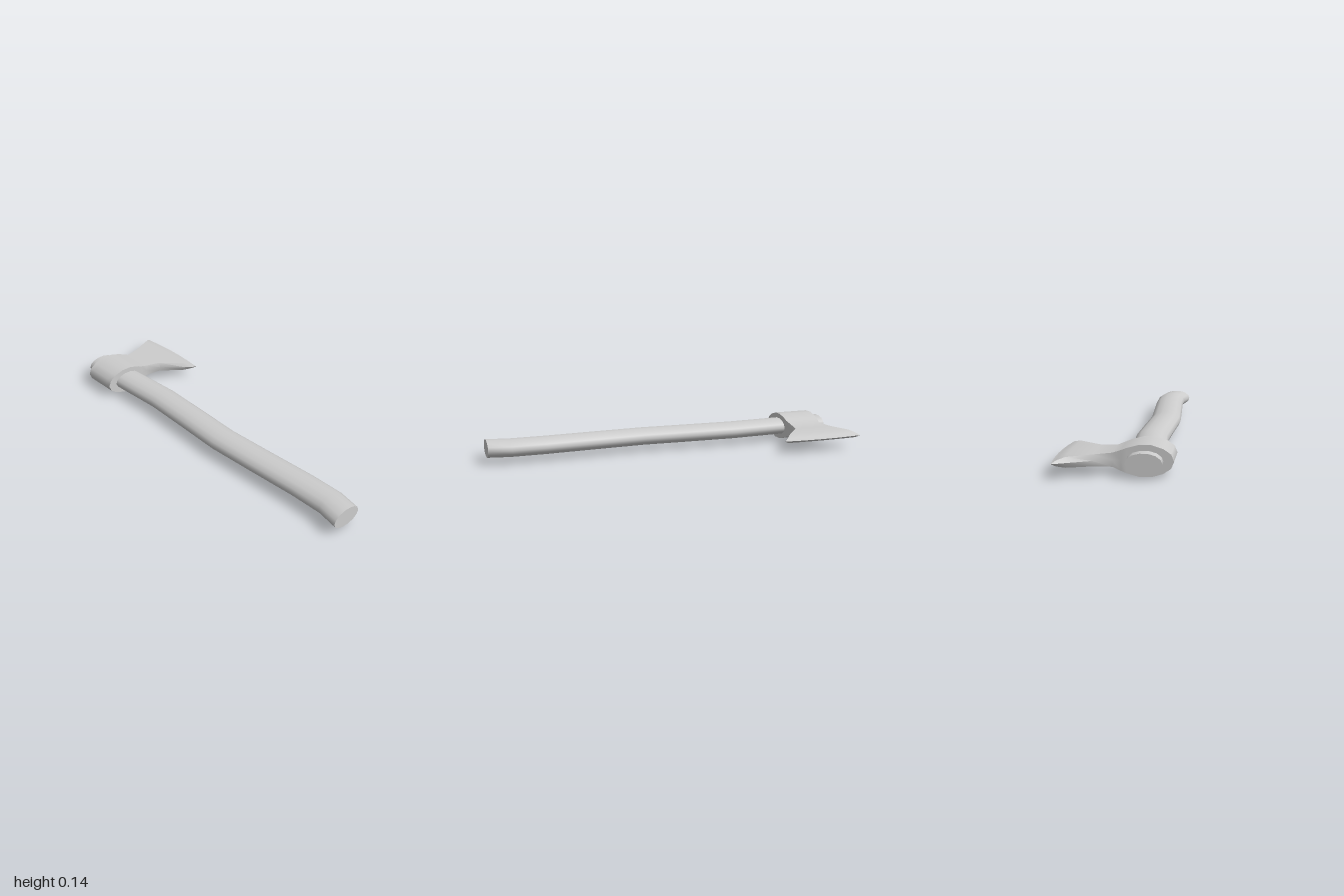
import * as THREE from 'three';
import { toCreasedNormals } from 'three/addons/utils/BufferGeometryUtils.js';

const MID_Y = 0.072;

// Skin a list of equal-length rings and close both ends with fans.
function loft(rings) {
  const n = rings[0].length;
  const points = rings.flat();
  const index = [];
  for (let i = 0; i < rings.length - 1; i++) {
    for (let j = 0; j < n; j++) {
      const k = (j + 1) % n;
      const a = i * n + j, b = i * n + k, c = b + n, d = a + n;
      index.push(a, b, c, a, c, d);
    }
  }
  const addCap = (ring, start, flip) => {
    const centre = new THREE.Vector3();
    ring.forEach((p) => centre.addScaledVector(p, 1 / n));
    const c = points.push(centre) - 1;
    for (let j = 0; j < n; j++) {
      const a = start + j, b = start + (j + 1) % n;
      if (flip) index.push(c, b, a);
      else index.push(c, a, b);
    }
  };
  addCap(rings[0], 0, true);
  addCap(rings[rings.length - 1], (rings.length - 1) * n, false);
  const geometry = new THREE.BufferGeometry().setFromPoints(points);
  geometry.setIndex(index);
  return toCreasedNormals(geometry, 0.85);
}

// Oval wooden shaft that wavers sideways: [x, centre z]
function handleGeometry() {
  const path = [
    [-0.95, 0.141], [-0.69, 0.137], [-0.38, 0.121], [-0.12, 0.131], [0.15, 0.143],
    [0.42, 0.131], [0.7, 0.117], [0.88, 0.117], [1, 0.141],
  ];
  const sides = 14;
  return loft(path.map(([x, z]) => Array.from({ length: sides }, (_, j) => {
    const a = (j / sides) * Math.PI * 2 + Math.PI / 2;
    return new THREE.Vector3(x, MID_Y + 0.047 * Math.cos(a), z + 0.083 * Math.sin(a));
  })));
}

// Socket flowing into a flared blade:
// [z, half thickness, left x, right x, side bulge, bow of the cutting edge]
function headGeometry() {
  const stations = [
    [0.27, 0, -0.89, -0.69, 0, 0],
    [0.257, 0.032, -0.89, -0.69, 0, 0],
    [0.222, 0.056, -0.89, -0.69, 0, 0],
    [0.17, 0.072, -0.89, -0.69, 0, 0],
    [0.115, 0.072, -0.89, -0.69, 0, 0],
    [0.06, 0.057, -0.89, -0.69, 0, 0],
    [0.035, 0.047, -0.89, -0.69, 0, 0],
    [-0.005, 0.032, -0.88, -0.7, 0.002, 0],
    [-0.09, 0.027, -0.905, -0.683, 0.01, 0],
    [-0.205, 0.024, -0.957, -0.59, 0.016, 0.004],
    [-0.248, 0.013, -0.982, -0.558, 0.01, 0.01],
    [-0.271, 0, -1, -0.535, 0, 0.015],
  ];
  const cols = 6;
  return loft(stations.map(([z, h, x0, x1, bulge, bow]) => {
    const at = (u, y, out = 0) => new THREE.Vector3(
      x0 + (x1 - x0) * u + out, MID_Y + y, z + bow * (2 * u - 1) ** 2);
    const ring = [];
    for (let i = 0; i <= cols; i++) ring.push(at(i / cols, h));
    ring.push(at(1, 0, bulge));
    for (let i = cols; i >= 0; i--) ring.push(at(i / cols, -h));
    ring.push(at(0, 0, -bulge));
    return ring;
  }));
}

export function createModel() {
  const grey = new THREE.MeshStandardMaterial({ color: 0xcccccc });
  grey.name = 'light grey';
  const group = new THREE.Group();
  group.name = 'axe';
  const add = (name, geometry) => {
    const mesh = new THREE.Mesh(geometry, grey);
    mesh.name = name;
    group.add(mesh);
  };
  add('handle', handleGeometry());
  add('axeHead', headGeometry());
  return group;
}
